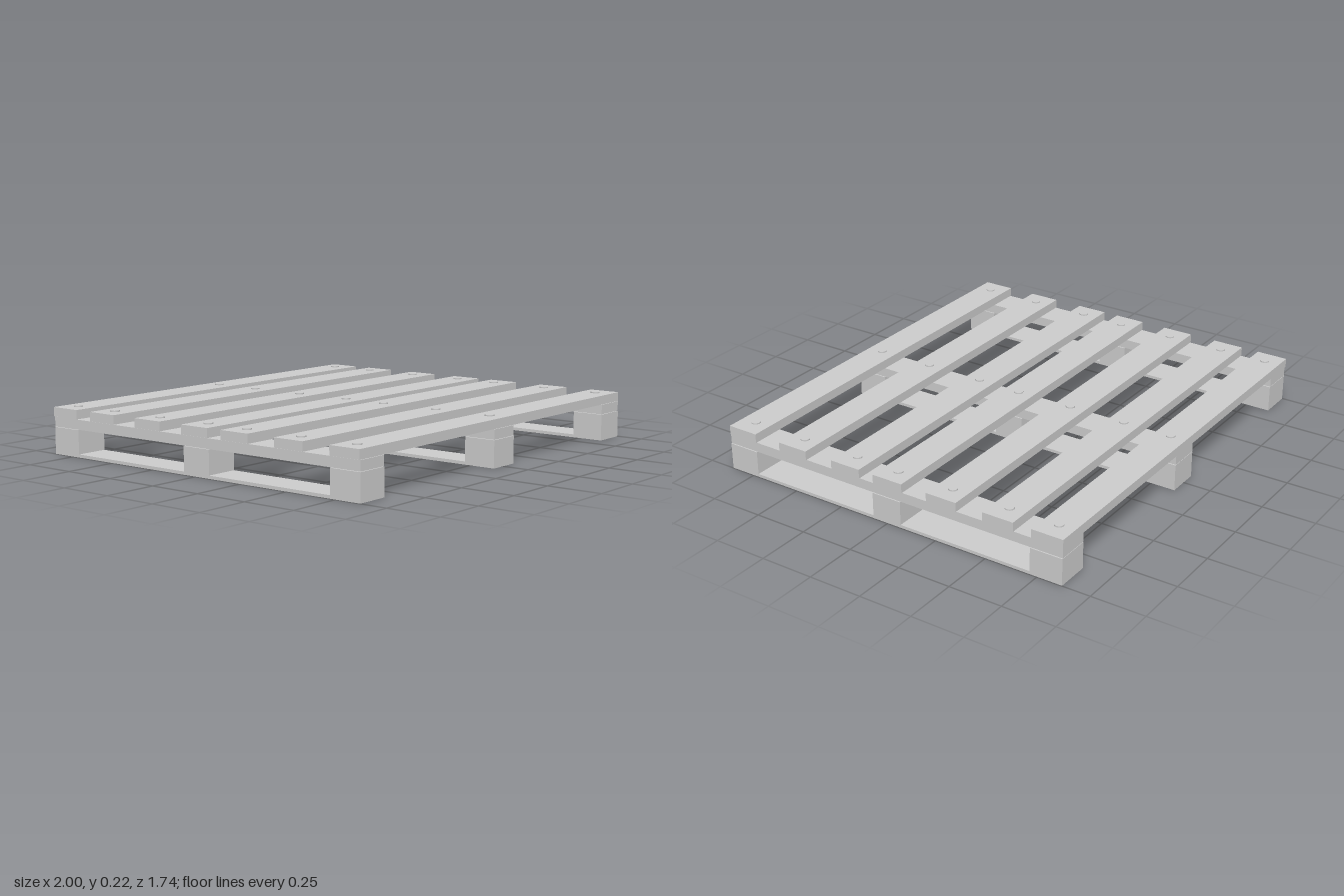
import * as THREE from 'three';

export function createModel() {
  const pallet = new THREE.Group();
  pallet.name = 'pallet';
  const wood = new THREE.MeshStandardMaterial({ color: 0xcccccc, flatShading: true });
  const metal = new THREE.MeshStandardMaterial({ color: 0xcccccc });

  // Box given by its extents on each axis
  function board(name, [x0, x1], [y0, y1], [z0, z1]) {
    const mesh = new THREE.Mesh(new THREE.BoxGeometry(x1 - x0, y1 - y0, z1 - z0), wood);
    mesh.position.set((x0 + x1) / 2, (y0 + y1) / 2, (z0 + z1) / 2);
    mesh.name = name;
    pallet.add(mesh);
  }

  // Three runners: thin bottom board, three blocks, stringer on top
  const runners = [[-0.998, -0.845], [-0.07, 0.083], [0.842, 0.998]];
  const blocks = [[-0.868, -0.715], [-0.068, 0.076], [0.722, 0.872]];
  for (const x of runners) {
    board('bottomBoard', x, [0, 0.014], [-0.868, 0.872]);
    for (const z of blocks) board('block', x, [0.014, 0.123], z);
    board('stringer', [x[0] + 0.001, x[1] - 0.003], [0.125, 0.17], [-0.868, 0.872]);
  }

  // Deck slats, unevenly spaced, each fixed with three nails
  const nailGeometry = new THREE.CylinderGeometry(0.021, 0.021, 0.012, 20);
  const slatCentres = [-0.797, -0.561, -0.281, -0.005, 0.219, 0.51, 0.795];
  slatCentres.forEach((z, i) => {
    board('deckSlat', [-1, 1], [0.171, 0.213], [z - 0.075, z + 0.075]);
    for (const x of [-0.92, 0.006, 0.912]) {
      const nail = new THREE.Mesh(nailGeometry, metal);
      nail.position.set(x + (i === 3 ? 0.007 : 0), 0.213, z);
      nail.name = 'nailHead';
      pallet.add(nail);
    }
  });

  return pallet;
}
